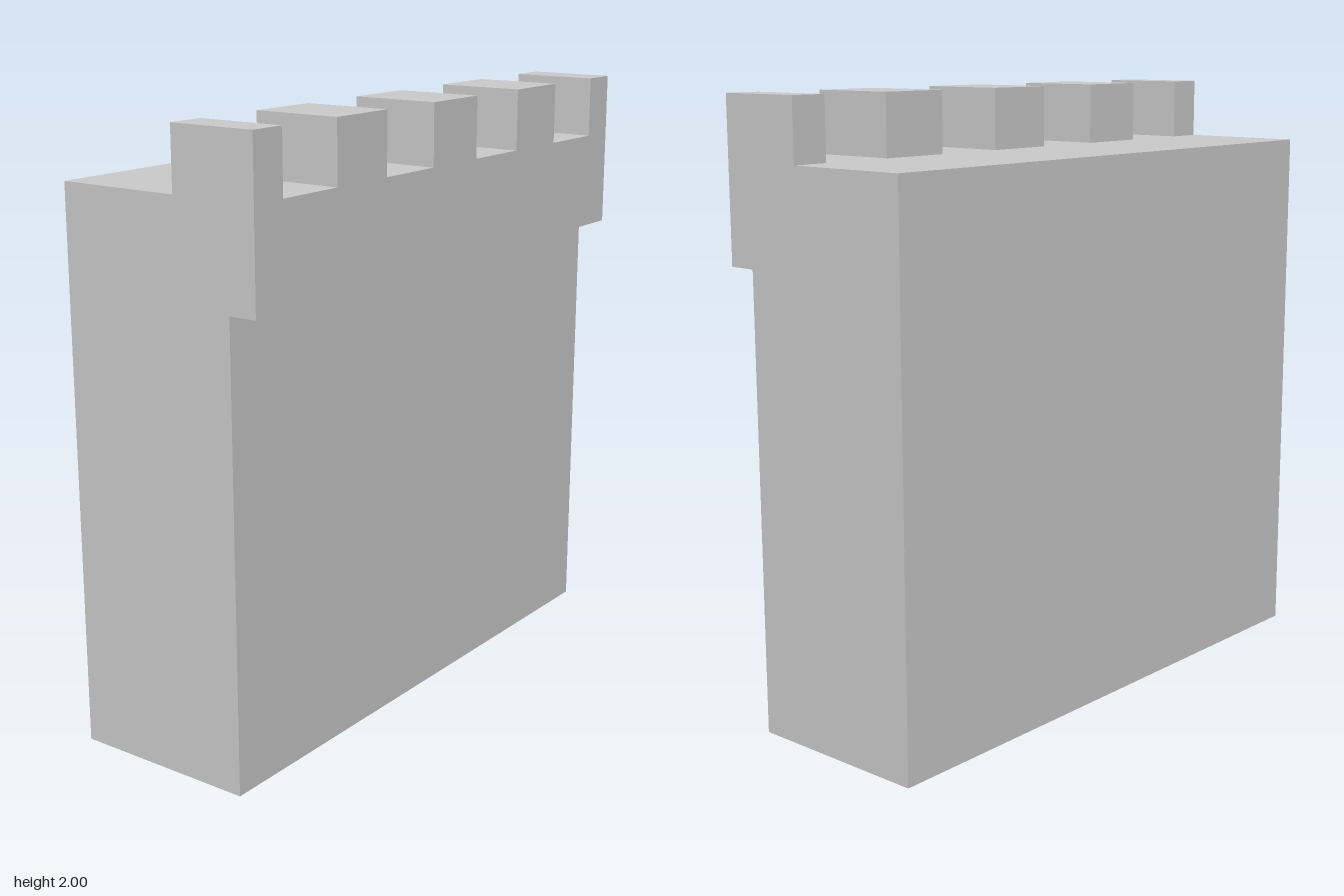
import * as THREE from 'three';

const LEFT = 0.985, RIGHT = -0.99;          // ends of the wall along x
const WALK = 1.8, TOP = 2;                  // walkway and merlon heights
const FRONT = 0.36, BACK = -0.36;           // overall depth
const PITCH = 0.4925, MERLON_W = 0.245, MERLON_D = 0.295;

export function createModel() {
  const model = new THREE.Group();
  model.name = 'battlementWall';
  const stone = new THREE.MeshStandardMaterial({ color: 0xcccccc, flatShading: true });

  // Wall: side profile (z, y) with the overhanging front ledge, swept along x
  const profile = new THREE.Shape([
    [BACK, 0], [0.265, 0], [0.265, 1.48], [FRONT, 1.48], [FRONT, WALK], [BACK, WALK],
  ].map(([z, y]) => new THREE.Vector2(z, y)));
  const wallGeometry = new THREE.ExtrudeGeometry(profile, { depth: LEFT - RIGHT, bevelEnabled: false });
  wallGeometry.rotateY(-Math.PI / 2).translate(LEFT, 0, 0);
  const wall = new THREE.Mesh(wallGeometry, stone);
  wall.name = 'wall';
  model.add(wall);

  // Merlons: evenly spaced along the front edge, the end ones cut off by the wall ends
  const middle = (LEFT + RIGHT) / 2;
  for (let i = -2; i <= 2; i++) {
    const x0 = Math.max(RIGHT, middle + i * PITCH - MERLON_W / 2);
    const x1 = Math.min(LEFT, middle + i * PITCH + MERLON_W / 2);
    const merlon = new THREE.Mesh(new THREE.BoxGeometry(x1 - x0, TOP - WALK, MERLON_D), stone);
    merlon.position.set((x0 + x1) / 2, (TOP + WALK) / 2, FRONT - MERLON_D / 2);
    merlon.name = `merlon${i + 3}`;
    model.add(merlon);
  }
  return model;
}
